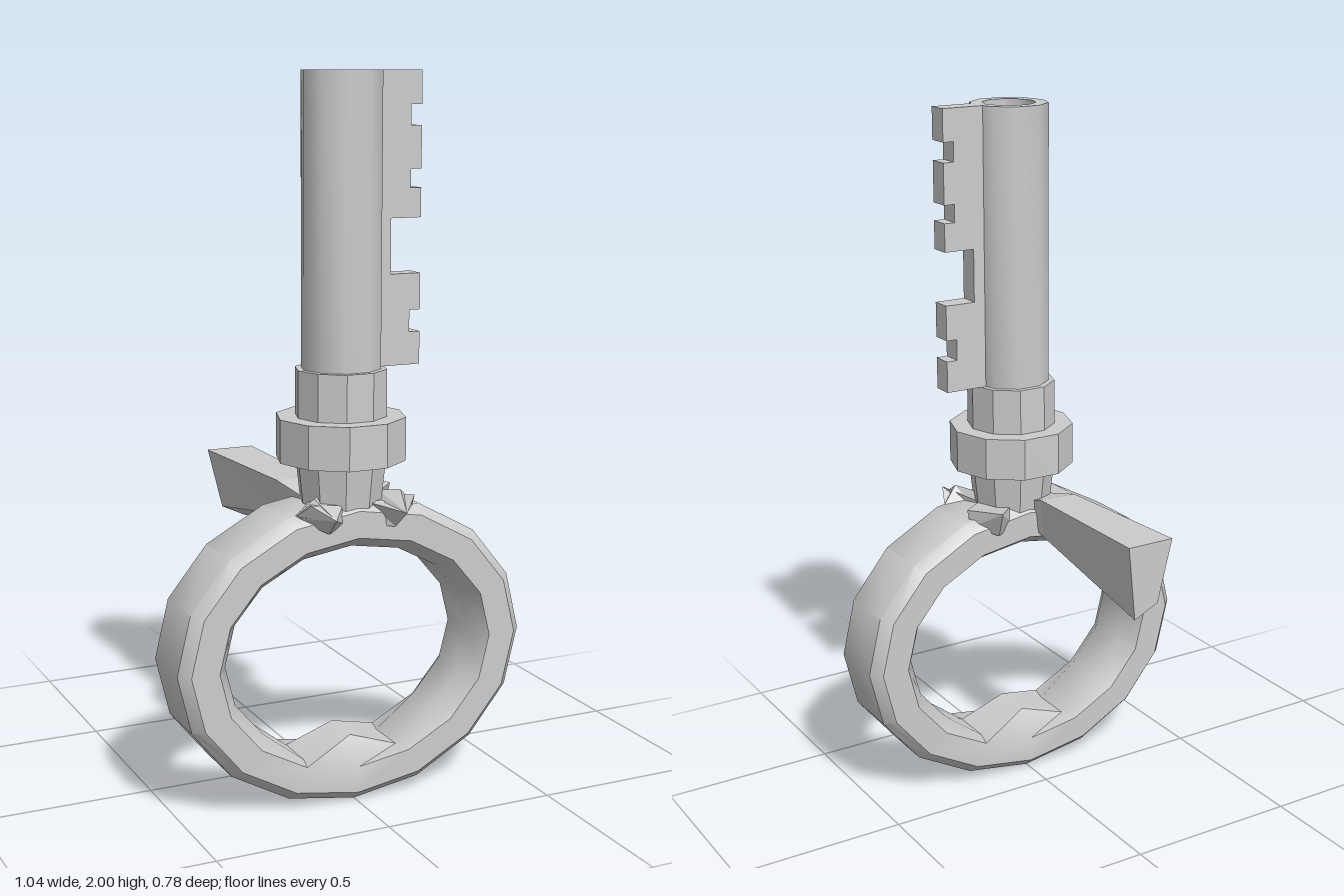
import * as THREE from 'three';
import { toCreasedNormals } from 'three/addons/utils/BufferGeometryUtils.js';

const AXIS_Z = 0.2; // the key lies in this plane
const SIDES = 10;

// Skin closed cross-sections (arrays of [x, y, z]); optionally join the last to the first.
function loft(sections, closed = false) {
  const n = sections[0].length, m = sections.length, index = [];
  for (let i = 0; i < (closed ? m : m - 1); i++) {
    for (let j = 0; j < n; j++) {
      const a = i * n + j, b = i * n + (j + 1) % n;
      const c = ((i + 1) % m) * n + j, d = ((i + 1) % m) * n + (j + 1) % n;
      index.push(a, b, d, a, d, c);
    }
  }
  if (!closed) {
    const e = (m - 1) * n;
    for (let j = 1; j < n - 1; j++) index.push(0, j + 1, j, e, e + j, e + j + 1);
  }
  const g = new THREE.BufferGeometry();
  g.setAttribute('position', new THREE.Float32BufferAttribute(sections.flat(2), 3));
  g.setIndex(index);
  g.computeVertexNormals();
  return g;
}

export function createModel() {
  const group = new THREE.Group();
  const smooth = new THREE.MeshStandardMaterial({ color: 0xcccccc, side: THREE.DoubleSide });
  const flat = new THREE.MeshStandardMaterial({ color: 0xcccccc, side: THREE.DoubleSide, flatShading: true });
  const add = (name, geometry, material = flat) => {
    const mesh = new THREE.Mesh(geometry, material);
    mesh.name = name;
    group.add(mesh);
    return mesh;
  };
  const turned = (name, profile, crease) => {
    const points = profile.map(([r, y]) => new THREE.Vector2(r, y));
    const g = new THREE.LatheGeometry(points, SIDES, Math.PI / 2);
    const mesh = add(name, toCreasedNormals(g, crease), smooth);
    mesh.position.set(-0.004, 0, AXIS_Z);
  };

  // Oval bow: bevelled section swept around, with a raised point at the bottom inside
  const section = [[1, 0.085], [0.6, 0.115], [-0.5, 0.115], [-1, 0.06],
    [-1, -0.06], [-0.5, -0.115], [0.6, -0.115], [1, -0.085]];
  const rings = [];
  for (let i = 0; i < 16; i++) {
    const a = i / 16 * Math.PI * 2;
    rings.push(section.map(([r, z]) => {
      let y = 0.432 + Math.sin(a) * (0.362 + 0.068 * r);
      if (r === -1 && i === 12) y = 0.18;
      if (r === -1 && (i === 11 || i === 13)) y = 0.13;
      return [Math.cos(a) * (0.447 + 0.073 * r), y, AXIS_Z + z];
    }));
  }
  add('bow', toCreasedNormals(loft(rings, true), 0.75), smooth);

  // Hollow barrel, open at the top
  turned('barrel', [[0.11, 1.19], [0.11, 2], [0.075, 2], [0.075, 1.24], [0, 1.24]], 0.8);

  // Stepped neck and collar
  turned('neck', [[0, 0.77], [0.105, 0.77], [0.127, 0.97]], 0.4);
  turned('collar', [[0.1, 0.96], [0.18, 0.96], [0.18, 1.08], [0.1, 1.08]], 0.4);
  turned('upperCollar', [[0.127, 1.07], [0.127, 1.21], [0.1, 1.21]], 0.4);

  // Toothed bit
  const bit = new THREE.Shape([
    [0.085, 1.21], [0.22, 1.21], [0.22, 1.3], [0.188, 1.3], [0.188, 1.36], [0.22, 1.36],
    [0.22, 1.46], [0.13, 1.46], [0.13, 1.61], [0.22, 1.61], [0.22, 1.69], [0.188, 1.69],
    [0.188, 1.74], [0.22, 1.74], [0.22, 1.855], [0.188, 1.855], [0.188, 1.91],
    [0.22, 1.91], [0.22, 2], [0.085, 2],
  ].map(([x, y]) => new THREE.Vector2(x, y)));
  add('bit', new THREE.ExtrudeGeometry(bit, { depth: 0.06, bevelEnabled: false }))
    .position.z = AXIS_Z - 0.03;

  // Short claws gripping the top of the bow at the front
  for (const s of [-1, 1]) {
    const root = [[0.02, 0.79, 0.27], [0.09, 0.79, 0.2], [0.1, 0.85, 0.2], [0.04, 0.85, 0.29]];
    const tip = [[0.1, 0.785, 0.33], [0.18, 0.825, 0.275], [0.155, 0.87, 0.335], [0.105, 0.835, 0.388]];
    const mirror = (q) => q.map(([x, y, z]) => [x * s, y, z]);
    const parts = [mirror(root), mirror(tip)];
    if (s < 0) parts.forEach((q) => q.reverse());
    add(s < 0 ? 'rightFrontClaw' : 'leftFrontClaw', loft(parts));
    // upper lip of the claw
    const lip = [
      mirror([[0.06, 0.81, 0.26], [0.1, 0.81, 0.22], [0.09, 0.87, 0.24]]),
      mirror([[0.105, 0.835, 0.385], [0.18, 0.83, 0.28], [0.13, 0.88, 0.3]]),
    ];
    if (s < 0) lip.forEach((q) => q.reverse());
    add('clawLip', loft(lip));
  }

  // Back claws: a short one, and a long one that widens outwards
  add('leftBackClaw', loft([
    [[0.1, 0.79, 0.21], [0.03, 0.79, 0.13], [0.04, 0.85, 0.13], [0.1, 0.85, 0.21]],
    [[0.175, 0.81, 0.13], [0.115, 0.79, 0.07], [0.125, 0.87, 0.03], [0.18, 0.86, 0.14]],
  ]));
  add('longBackClaw', loft([
    [[-0.02, 0.79, 0.16], [-0.09, 0.79, 0.18], [-0.1, 0.85, 0.18], [-0.01, 0.85, 0.15]],
    [[-0.03, 0.76, 0.06], [-0.1, 0.775, 0.06], [-0.13, 0.878, 0.05], [-0.018, 0.878, 0.06]],
    [[-0.04, 0.665, -0.395], [-0.115, 0.7, -0.395], [-0.16, 0.88, -0.395], [-0.018, 0.88, -0.395]],
  ]));
  return group;
}
